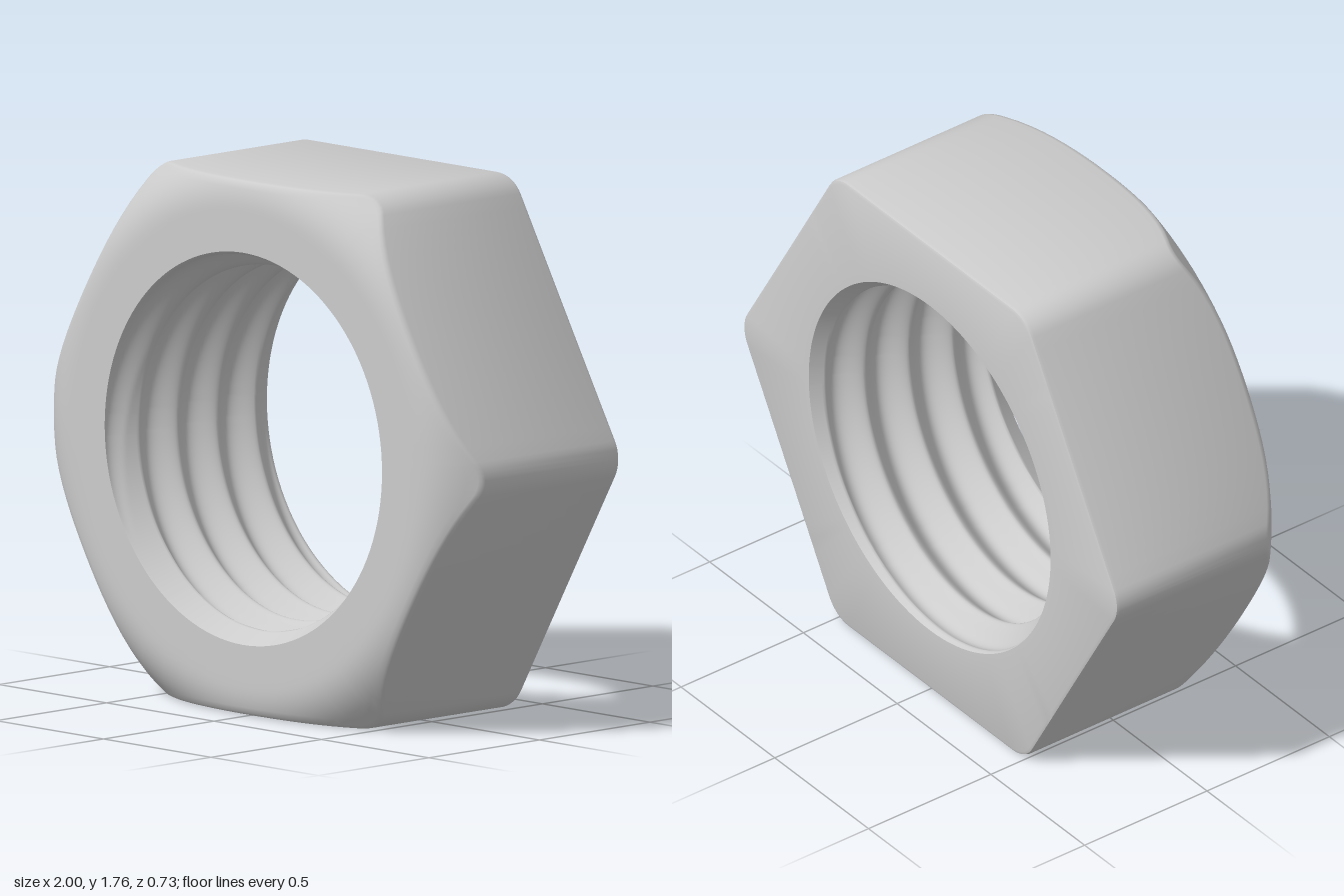
import * as THREE from 'three';
import { toCreasedNormals } from 'three/addons/utils/BufferGeometryUtils.js';

const APOTHEM = 0.88, CORNER = 0.12, HALF = 0.367;   // across-flats / 2, corner rounding, thickness / 2
const MOUTH = 0.645, BORE = 0.587, PITCH = 0.18;      // countersink radius, thread crest radius, thread pitch

// Rounded hexagon as polar points, counter-clockwise, corners on the x axis
function hexOutline() {
  const points = [];
  const inner = (APOTHEM - CORNER) / Math.cos(Math.PI / 6);
  const arc = 8, side = 18;
  const onArc = (k, t) => {
    const c = k * Math.PI / 3, a = c + (t - 0.5) * Math.PI / 3;
    return new THREE.Vector2(inner * Math.cos(c) + CORNER * Math.cos(a), inner * Math.sin(c) + CORNER * Math.sin(a));
  };
  for (let k = 0; k < 6; k++) {
    for (let i = 0; i < arc; i++) points.push(onArc(k, i / arc));
    const from = onArc(k, 1), to = onArc(k + 1, 0);
    for (let i = 0; i < side; i++) points.push(from.clone().lerp(to, i / side));
  }
  return points.map(p => ({ r: p.length(), a: Math.atan2(p.y, p.x) }));
}

// Closed loft round the z axis: profile(column, row) returns [radius, z]
function loft(columns, rows, profile) {
  const pos = [], index = [], n = columns.length;
  for (let j = 0; j < rows; j++) {
    for (const c of columns) {
      const [r, z] = profile(c, j);
      pos.push(r * Math.cos(c.a), r * Math.sin(c.a), z);
    }
  }
  for (let j = 0; j < rows - 1; j++) {
    for (let i = 0; i < n; i++) {
      const a = j * n + i, b = j * n + (i + 1) % n;
      index.push(a, b, b + n, a, b + n, a + n);
    }
  }
  const g = new THREE.BufferGeometry();
  g.setAttribute('position', new THREE.Float32BufferAttribute(pos, 3));
  g.setIndex(index);
  g.computeVertexNormals();
  return g;
}

// Domed chamfer height of the front face
const frontZ = r => HALF - 0.12 * Math.pow(Math.max(0, r - 0.78) / 0.218, 2.4);

export function createModel() {
  const group = new THREE.Group();
  const material = new THREE.MeshStandardMaterial({ color: 0xcccccc });
  const columns = hexOutline();

  // Hexagonal body: flat back, six sides, domed front
  const domeSteps = 14;
  const bodyProfile = (c, j) => {
    const top = frontZ(c.r - 0.012);
    const start = [
      [MOUTH, -HALF], [c.r - 0.014, -HALF], [c.r - 0.004, -HALF + 0.004], [c.r, -HALF + 0.014],
      [c.r, top - 0.022], [c.r - 0.004, top - 0.008],
    ];
    if (j < start.length) return start[j];
    const r = THREE.MathUtils.lerp(c.r - 0.012, MOUTH, (j - start.length) / domeSteps);
    return [r, frontZ(r)];
  };
  const body = new THREE.Mesh(toCreasedNormals(loft(columns, 7 + domeSteps, bodyProfile), 0.7), material);
  body.name = 'hexBody';

  // Bore: helical thread cut back by a countersink at each end
  const boreRows = 121;
  const boreProfile = (c, j) => {
    const z = HALF * (1 - 2 * j / (boreRows - 1));
    const wave = 0.5 - 0.5 * Math.cos(2 * Math.PI * z / PITCH - c.a);
    const thread = BORE + 0.058 * Math.pow(wave, 0.8);
    const sink = MOUTH - (HALF - Math.abs(z)) * 0.55;
    return [Math.min(MOUTH, Math.max(thread, sink)), z];
  };
  const bore = new THREE.Mesh(loft(columns, boreRows, boreProfile), material);
  bore.name = 'threadedBore';

  group.add(body, bore);
  group.children.forEach(m => { m.position.y = APOTHEM; });
  return group;
}
